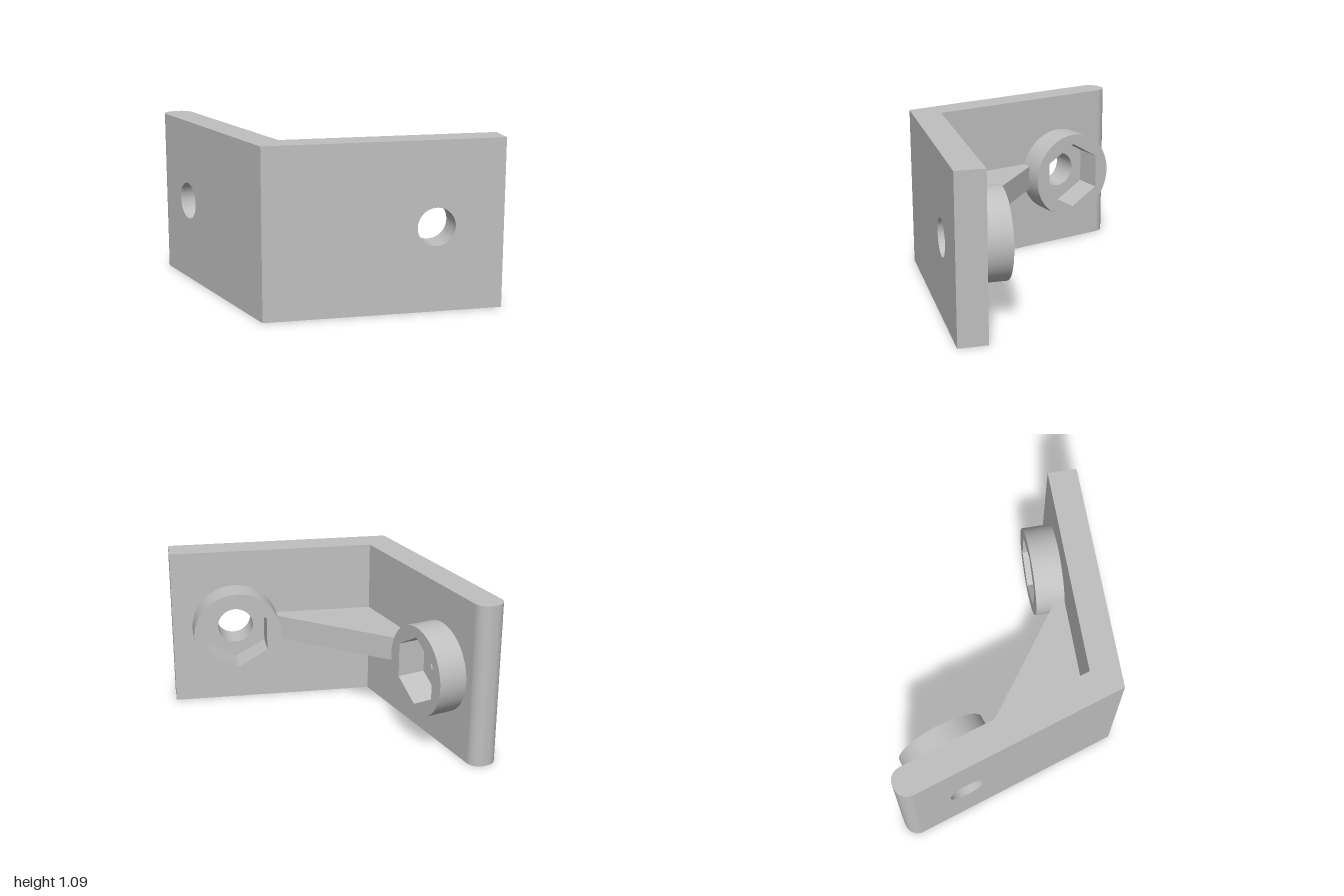
import * as THREE from 'three';
import { toCreasedNormals } from 'three/addons/utils/BufferGeometryUtils.js';

const T = 0.192;                              // plate thickness and boss depth
const LEN = 1.388;                            // inner length of each arm
const H = 1.09, MID = H / 2;
const HOLE_AT = 0.952;                        // hole distance from the inner corner
const TILT = THREE.MathUtils.degToRad(18);    // slope of the front arm
const HALF = THREE.MathUtils.degToRad(54);    // half of the angle between the arms
const CORNER = new THREE.Vector3(-0.563, 0, 0.39);

function extrude(shape, depth, steps = 1) {
  return new THREE.ExtrudeGeometry(shape, { depth, steps, bevelEnabled: false, curveSegments: 48 });
}

function circle(Kind, x, y, r) {
  return new Kind().absarc(x, y, r, 0, Math.PI * 2, false);
}

// Plate running along +x, with its inner face at z = 0 and mitred at the corner.
// side is the direction (+1 or -1) in which the inner face looks.
function plateGeometry(side, round) {
  const shape = new THREE.Shape();
  shape.moveTo(0, 0).lineTo(LEN, 0).lineTo(LEN, H).lineTo(0, H).closePath();
  shape.holes.push(circle(THREE.Path, HOLE_AT, MID, 0.122));
  const geo = extrude(shape, T, round > 0 ? 24 : 1);
  const p = geo.attributes.position;
  for (let i = 0; i < p.count; i++) {
    // Crowd the layers towards both faces so that the rounding is smooth
    const t = T * (1 - Math.cos(Math.PI * p.getZ(i) / T)) / 2;
    const x = p.getX(i);
    const below = side > 0 ? T - t : t;       // depth under the inner face
    if (x < 1e-4) p.setX(i, -below / Math.tan(HALF));
    if (x > LEN - 1e-4 && round > 0) {
      const d = Math.max(0, round - Math.min(t, T - t));
      p.setX(i, LEN - round + Math.sqrt(Math.max(0, round * round - d * d)));
    }
    p.setZ(i, side > 0 ? t - T : t);
  }
  return toCreasedNormals(geo, Math.PI / 6);
}

// Round boss with a hexagonal nut pocket
function bossGeometry(side) {
  const shape = circle(THREE.Shape, HOLE_AT, MID, 0.3);
  const hex = [];
  for (let i = 0; i < 6; i++) {
    const a = Math.PI / 6 + i * Math.PI / 3;
    hex.push(new THREE.Vector2(HOLE_AT + 0.232 * Math.cos(a), MID + 0.232 * Math.sin(a)));
  }
  shape.holes.push(new THREE.Path(hex));
  const geo = extrude(shape, T);
  if (side < 0) geo.translate(0, 0, -T);
  return toCreasedNormals(geo, Math.PI / 6);
}

// Triangular rib between the arms, its tips cut off inside the boss walls
function ribGeometry() {
  const tip = 0.76, cut = 0.72, rise = (tip - cut) * Math.tan(Math.PI / 2 - HALF);
  const c = Math.cos(TILT), s = Math.sin(TILT);
  // Plan points as (x, -z), measured from the inner corner
  const shape = new THREE.Shape([
    new THREE.Vector2(0, 0),
    new THREE.Vector2(cut * c, -cut * s),
    new THREE.Vector2(cut * c + rise * s, -cut * s + rise * c),
    new THREE.Vector2(rise, cut),
    new THREE.Vector2(0, cut),
  ]);
  const height = 0.165;
  return extrude(shape, height).rotateX(-Math.PI / 2).translate(0, MID - height / 2, 0);
}

export function createModel() {
  const model = new THREE.Group();
  model.name = 'angleBracket';
  const grey = new THREE.MeshStandardMaterial({ color: 0xc0c0c0 });
  grey.name = 'grey';

  const add = (parent, name, geo) => {
    const mesh = new THREE.Mesh(geo, grey);
    mesh.name = name;
    parent.add(mesh);
  };

  // Side arm (rounded end) and sloping front arm, both starting at the inner corner
  const arms = [
    { name: 'sideArm', turn: Math.PI / 2, side: 1, round: 0.085 },
    { name: 'frontArm', turn: -TILT, side: -1, round: 0 },
  ];
  for (const { name, turn, side, round } of arms) {
    const arm = new THREE.Group();
    arm.name = name;
    arm.position.copy(CORNER);
    arm.rotation.y = turn;
    add(arm, name + 'Plate', plateGeometry(side, round));
    add(arm, name + 'NutBoss', bossGeometry(side));
    model.add(arm);
  }

  const rib = new THREE.Group();
  rib.name = 'rib';
  rib.position.copy(CORNER);
  add(rib, 'cornerRib', ribGeometry());
  model.add(rib);

  return model;
}
